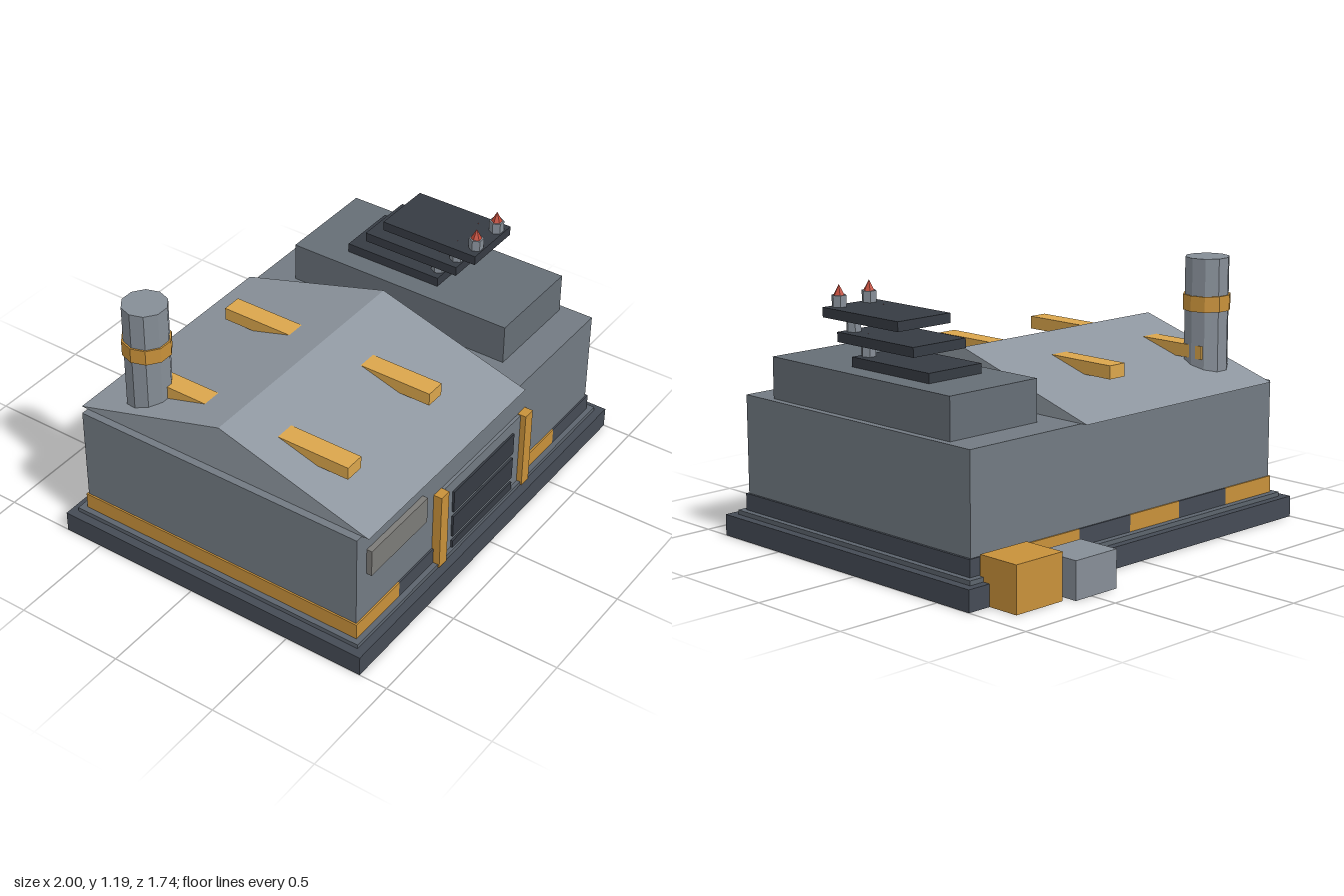
import * as THREE from 'three';

const mat = (color) => new THREE.MeshStandardMaterial({ color, flatShading: true });
const M = {
  base: mat(0x454b55), plinth: mat(0x5c646d), wall: mat(0x727a82), roof: mat(0x8e969f),
  block: mat(0x666e76), dark: mat(0x363b43), yellow: mat(0xc8913a), vent: mat(0xdba64c),
  metal: mat(0x868e97), sign: mat(0x7c7b78), red: mat(0xc24a38),
};

export function createModel() {
  const root = new THREE.Group();

  const add = (name, geometry, material, parent = root) => {
    const mesh = new THREE.Mesh(geometry, material);
    mesh.name = name;
    parent.add(mesh);
    return mesh;
  };
  // Box given by its limits on each axis
  const box = (name, [x0, x1], [y0, y1], [z0, z1], material, parent) => {
    const mesh = add(name, new THREE.BoxGeometry(x1 - x0, y1 - y0, z1 - z0), material, parent);
    mesh.position.set((x0 + x1) / 2, (y0 + y1) / 2, (z0 + z1) / 2);
    return mesh;
  };
  // Upright prism or cone with a corner pointing along x
  const column = (name, rTop, rBottom, sides, x, [y0, y1], z, material, parent) => {
    const geo = new THREE.CylinderGeometry(rTop, rBottom, y1 - y0, sides);
    geo.rotateY(Math.PI / 2);
    const mesh = add(name, geo, material, parent);
    mesh.position.set(x, (y0 + y1) / 2, z);
    return mesh;
  };

  // Foundation and walls
  box('foundation', [-1, 1], [0, 0.095], [-0.685, 0.868], M.base);
  box('plinth', [-0.96, 0.96], [0.095, 0.115], [-0.65, 0.83], M.plinth);
  box('walls', [-0.925, 0.922], [0.115, 0.632], [-0.613, 0.797], M.wall);

  // Warning-striped skirt
  const skirt = new THREE.Group();
  skirt.name = 'stripedSkirt';
  root.add(skirt);
  for (let i = 0; i < 6; i++) {
    const x = -0.933 + i * 0.311;
    box('skirtStripe', [x, x + 0.311], [0.115, 0.19], [-0.62, 0.805], i % 2 ? M.base : M.yellow, skirt);
  }

  // Gabled roof, extruded along x
  const gable = new THREE.Shape();
  gable.moveTo(-0.83, 0.632);
  gable.lineTo(0.645, 0.632);
  gable.lineTo(-0.0925, 0.853);
  gable.closePath();
  const roofGeo = new THREE.ExtrudeGeometry(gable, { depth: 1.185, bevelEnabled: false });
  roofGeo.rotateY(Math.PI / 2);
  add('gabledRoof', roofGeo, M.roof).position.x = -0.89;

  // Roof vents, mirrored about the ridge
  for (const x of [-0.695, -0.105]) {
    for (const side of [-1, 1]) {
      const vent = box('roofVent', [x - 0.046, x + 0.046], [0.738, 0.797], [-0.175, 0.175], M.vent);
      vent.position.z = 0.0925 + side * 0.358;
    }
  }

  // Chimney
  const chimney = new THREE.Group();
  chimney.name = 'chimney';
  root.add(chimney);
  column('chimneyStack', 0.1, 0.1, 10, -0.743, [0.6, 1.187], -0.388, M.metal, chimney);
  column('chimneyBand', 0.108, 0.108, 10, -0.743, [0.95, 1.02], -0.388, M.yellow, chimney);

  // Raised block with stepped launch platforms
  box('raisedBlock', [0.405, 0.89], [0.632, 0.817], [-0.465, 0.648], M.block);
  for (let i = 0; i < 3; i++) {
    const tier = new THREE.Group();
    tier.name = 'launchTier';
    tier.position.set(0, 0.817 + i * 0.0935, i * 0.093);
    root.add(tier);
    box('platform', [0.5, 0.792], [0, 0.043], [-0.237, 0.24], M.dark, tier);
    for (const x of [0.563, 0.73]) {
      column('rocketBody', 0.033, 0.033, 6, x, [0.043, 0.093], 0.205, M.metal, tier);
      column('rocketTip', 0, 0.025, 6, x, [0.093, 0.139], 0.205, M.red, tier);
    }
  }

  // Front gate with slats and posts
  box('gatePanel', [-0.305, 0.3], [0.1, 0.48], [0.78, 0.812], M.wall);
  for (let i = 0; i < 3; i++) {
    const top = 0.423 - i * 0.135;
    box('gateSlat', [-0.24, 0.238], [Math.max(top - 0.11, 0.1), top], [0.79, 0.822], M.dark);
  }
  box('gatePost', [-0.365, -0.308], [0.1, 0.482], [0.78, 0.837], M.yellow);
  box('gatePost', [0.302, 0.36], [0.1, 0.482], [0.78, 0.837], M.yellow);

  // Blank wall panel
  box('wallPanel', [-0.855, -0.45], [0.41, 0.538], [0.79, 0.822], M.sign);

  // Crates against the rear wall
  box('yellowCrate', [0.63, 0.888], [0, 0.205], [-0.835, -0.632], M.yellow);
  box('greyCrate', [0.355, 0.592], [0, 0.167], [-0.872, -0.67], M.metal);

  return root;
}
